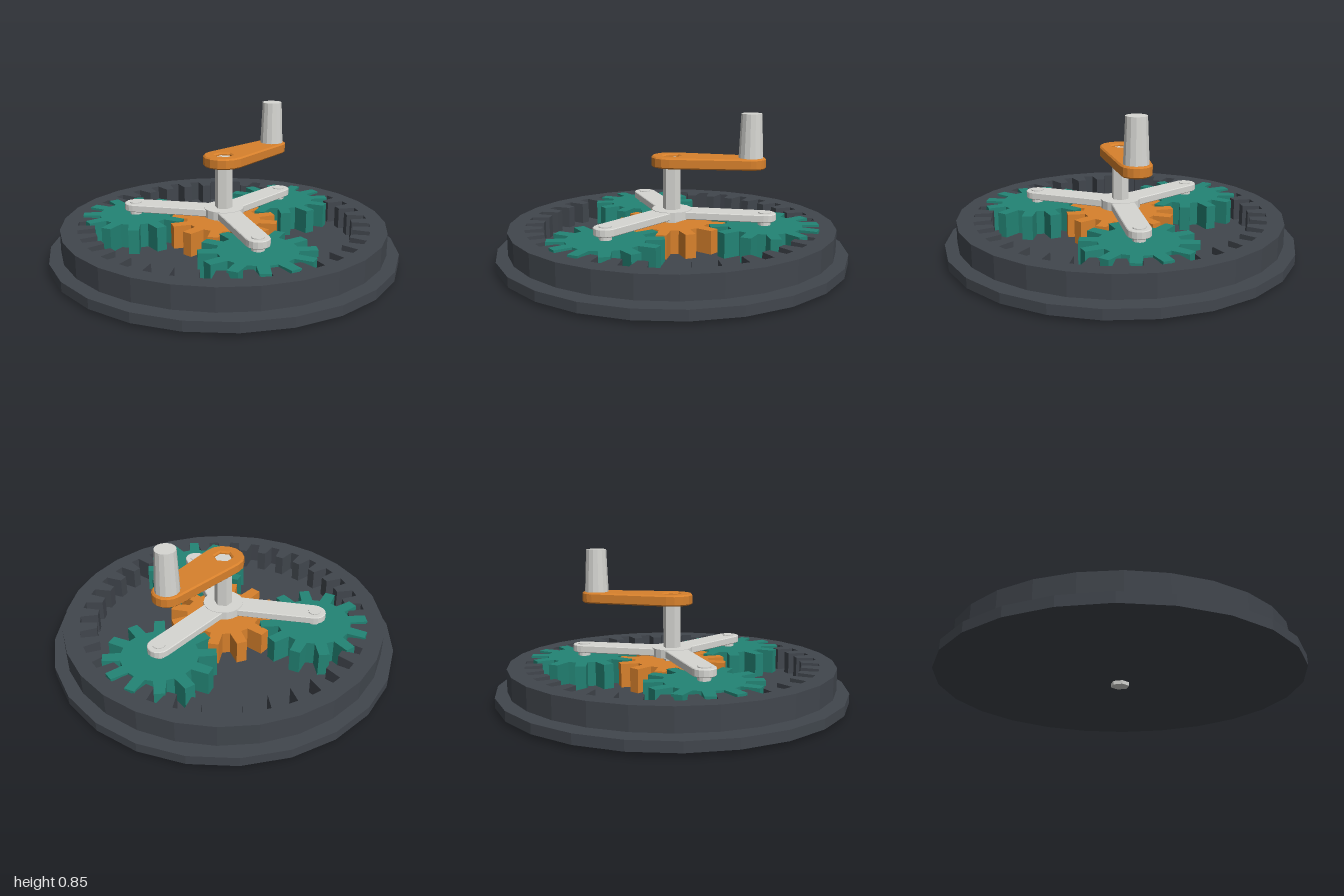
import * as THREE from 'three';

const material = (name, color) => {
  const m = new THREE.MeshStandardMaterial({ color, flatShading: true });
  m.name = name;
  return m;
};

const ORBIT = 0.53; // distance from sun axis to planet axes

// Points of a toothed outline; tipHalf and rootHalf are angles in degrees
function toothedPoints(teeth, tipR, rootR, tipHalf, rootHalf, phase = 0) {
  const points = [];
  for (let i = 0; i < teeth; i++) {
    const centre = phase + (i * 360) / teeth;
    for (const [r, a] of [[rootR, -rootHalf], [tipR, -tipHalf], [tipR, tipHalf], [rootR, rootHalf]]) {
      const t = THREE.MathUtils.degToRad(centre + a);
      points.push(new THREE.Vector2(r * Math.cos(t), r * Math.sin(t)));
    }
  }
  return points;
}

function circlePoints(r, sides) {
  return Array.from({ length: sides }, (_, i) => {
    const t = (i / sides) * Math.PI * 2;
    return new THREE.Vector2(r * Math.cos(t), r * Math.sin(t));
  });
}

// Bar with round ends of different radii along +x
function barPoints(length, r0, r1, steps) {
  const points = [];
  const lean = Math.acos((r0 - r1) / length);
  for (let i = 0; i <= steps; i++) {
    const t = -lean + (2 * lean * i) / steps;
    points.push(new THREE.Vector2(length + r1 * Math.cos(t), r1 * Math.sin(t)));
  }
  for (let i = 0; i <= steps; i++) {
    const t = lean + ((2 * Math.PI - 2 * lean) * i) / steps;
    points.push(new THREE.Vector2(r0 * Math.cos(t), r0 * Math.sin(t)));
  }
  return points;
}

// Upright plate between heights y0 and y1, with optional hole and bevel
function plate(name, points, y0, y1, mat, hole, bevel = 0) {
  const shape = new THREE.Shape(points);
  if (hole) shape.holes.push(new THREE.Path(hole));
  const geometry = new THREE.ExtrudeGeometry(shape, {
    depth: y1 - y0 - 2 * bevel,
    bevelEnabled: bevel > 0,
    bevelSize: bevel,
    bevelOffset: -bevel,
    bevelThickness: bevel,
    bevelSegments: 1,
  });
  geometry.rotateX(-Math.PI / 2).translate(0, y0 + bevel, 0);
  const mesh = new THREE.Mesh(geometry, mat);
  mesh.name = name;
  return mesh;
}

function cylinder(name, rTop, rBottom, y0, y1, sides, mat) {
  const geometry = new THREE.CylinderGeometry(rTop, rBottom, y1 - y0, sides);
  geometry.translate(0, (y0 + y1) / 2, 0);
  const mesh = new THREE.Mesh(geometry, mat);
  mesh.name = name;
  return mesh;
}

export function createModel() {
  const dark = material('charcoal', 0x41464d);
  const teal = material('teal', 0x238475);
  const orange = material('orange', 0xd8812c);
  const light = material('light grey', 0xd6d6d2);

  const model = new THREE.Group();
  model.name = 'planetaryGearSet';

  // Base disc with hexagonal shaft hole, and the spacer above it
  const hexHole = circlePoints(0.052, 6);
  model.add(plate('baseDisc', circlePoints(1, 24), 0.02, 0.075, dark, hexHole));
  model.add(cylinder('spacer', 0.12, 0.12, 0.07, 0.088, 16, dark));

  // Ring gear: outer rim with inward teeth
  const innerTeeth = toothedPoints(36, 0.738, 0.835, 2, 3);
  model.add(plate('ringGear', circlePoints(0.93, 28), 0.087, 0.213, dark, innerTeeth));

  // Sun gear
  model.add(plate('sunGear', toothedPoints(12, 0.31, 0.212, 5.5, 9), 0.086, 0.22, orange));

  // Planets, pins and carrier arms
  for (let i = 0; i < 3; i++) {
    const station = new THREE.Group();
    station.name = `planetStation${i + 1}`;
    station.rotation.y = (i * Math.PI * 2) / 3;
    const planet = plate('planetGear', toothedPoints(12, 0.31, 0.212, 5.5, 9, 15), 0.086, 0.225, teal);
    planet.position.x = ORBIT;
    const pin = cylinder('planetPin', 0.036, 0.036, 0.15, 0.298, 12, light);
    pin.position.x = ORBIT;
    const arm = plate('carrierArm', barPoints(ORBIT, 0.068, 0.065, 8), 0.25, 0.293, light, null, 0.004);
    station.add(planet, pin, arm);
    model.add(station);
  }
  model.add(cylinder('carrierHub', 0.115, 0.115, 0.247, 0.296, 18, light));

  // Hexagonal shaft; its corners point along x
  const shaft = plate('shaft', circlePoints(0.051, 6), 0, 0.59, light);
  model.add(shaft);

  // Crank arm and tapered handle
  model.add(plate('crankArm', barPoints(0.447, 0.118, 0.084, 8), 0.543, 0.605, orange, hexHole, 0.008));
  const handle = cylinder('crankHandle', 0.058, 0.069, 0.6, 0.85, 14, light);
  handle.position.x = 0.447;
  model.add(handle);

  return model;
}
